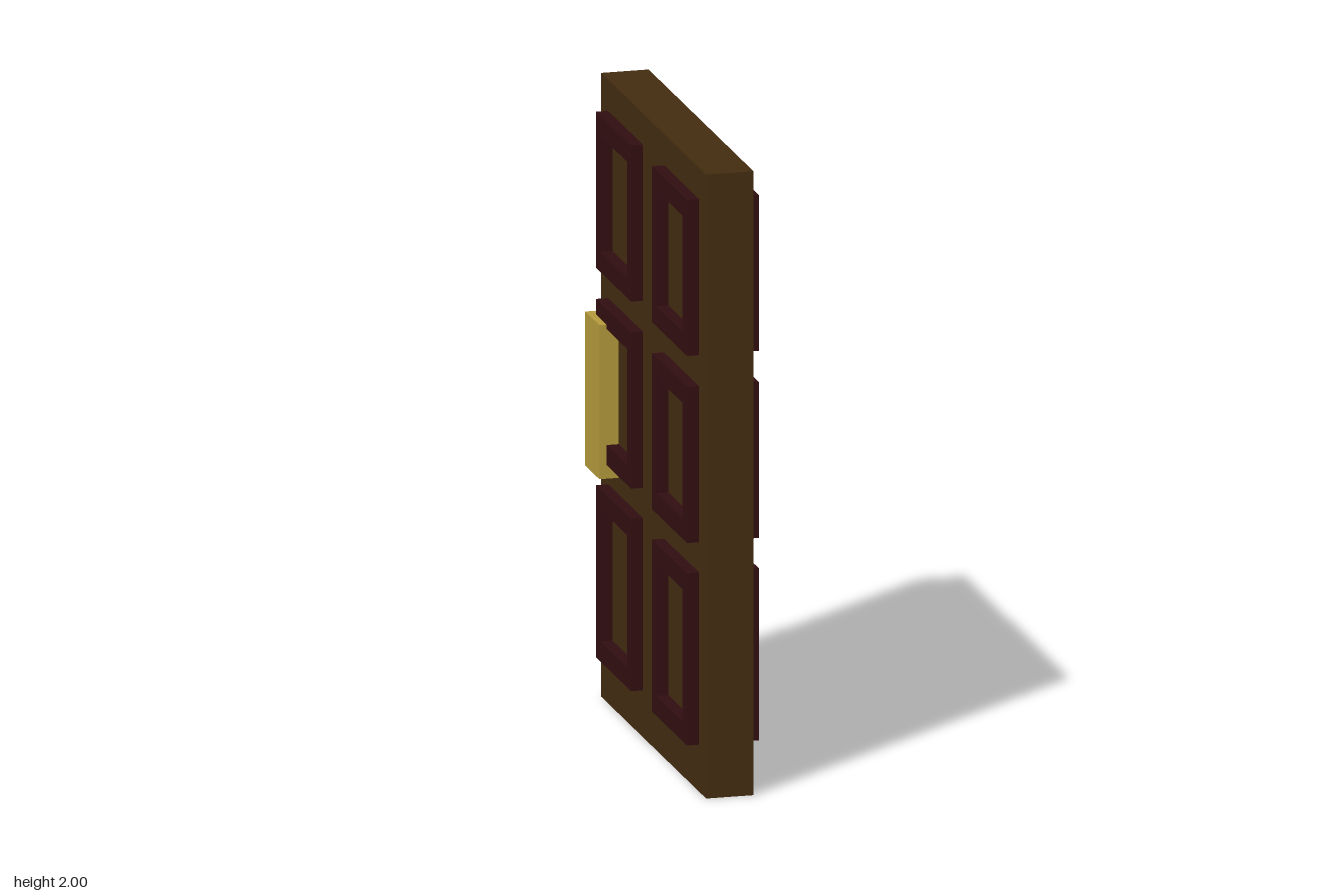
import * as THREE from 'three';

const material = (name, color) => {
  const m = new THREE.MeshStandardMaterial({ color });
  m.name = name;
  return m;
};

export function createModel() {
  const wood = material('brown wood', 0x432c11);
  const trim = material('dark red trim', 0x310e11);
  const brass = material('brass', 0xb4993c);

  const door = new THREE.Group();
  door.name = 'door';

  const add = (name, geometry, mat, x, y, z) => {
    const mesh = new THREE.Mesh(geometry, mat);
    mesh.name = name;
    mesh.position.set(x, y, z);
    door.add(mesh);
    return mesh;
  };

  // Door slab, thin along x
  const halfSlab = 0.076;
  add('slab', new THREE.BoxGeometry(halfSlab * 2, 2, 1.23), wood, 0, 1, 0);

  // Rectangular moulding with an open middle, extruded along x
  const frameGeometry = (width, height, depth) => {
    const rect = (path, w, h) => {
      path.moveTo(-w / 2, -h / 2);
      path.lineTo(w / 2, -h / 2);
      path.lineTo(w / 2, h / 2);
      path.lineTo(-w / 2, h / 2);
      path.closePath();
      return path;
    };
    const shape = rect(new THREE.Shape(), width, height);
    shape.holes.push(rect(new THREE.Path(), width - 0.1, height - 0.128));
    const geometry = new THREE.ExtrudeGeometry(shape, { depth, bevelEnabled: false });
    return geometry.translate(0, 0, -depth / 2).rotateY(Math.PI / 2);
  };

  // Three rows and two columns of mouldings on both faces
  const frameDepth = 0.044;
  const rows = [[0.151, 0.703], [0.8, 1.3], [1.4, 1.9]];
  for (const [bottom, top] of rows) {
    const geometry = frameGeometry(0.41, top - bottom, frameDepth);
    for (const side of [-1, 1]) {
      for (const column of [-1, 1]) {
        add('panelFrame', geometry, trim,
          side * (0.115 - frameDepth / 2), (bottom + top) / 2, column * 0.328);
      }
    }
  }

  // Handle block on each face, near the back edge
  const handle = new THREE.BoxGeometry(0.068, 0.494, 0.165);
  for (const side of [-1, 1]) {
    add('handle', handle, brass, side * 0.104, 1.003, -0.493);
  }

  return door;
}
